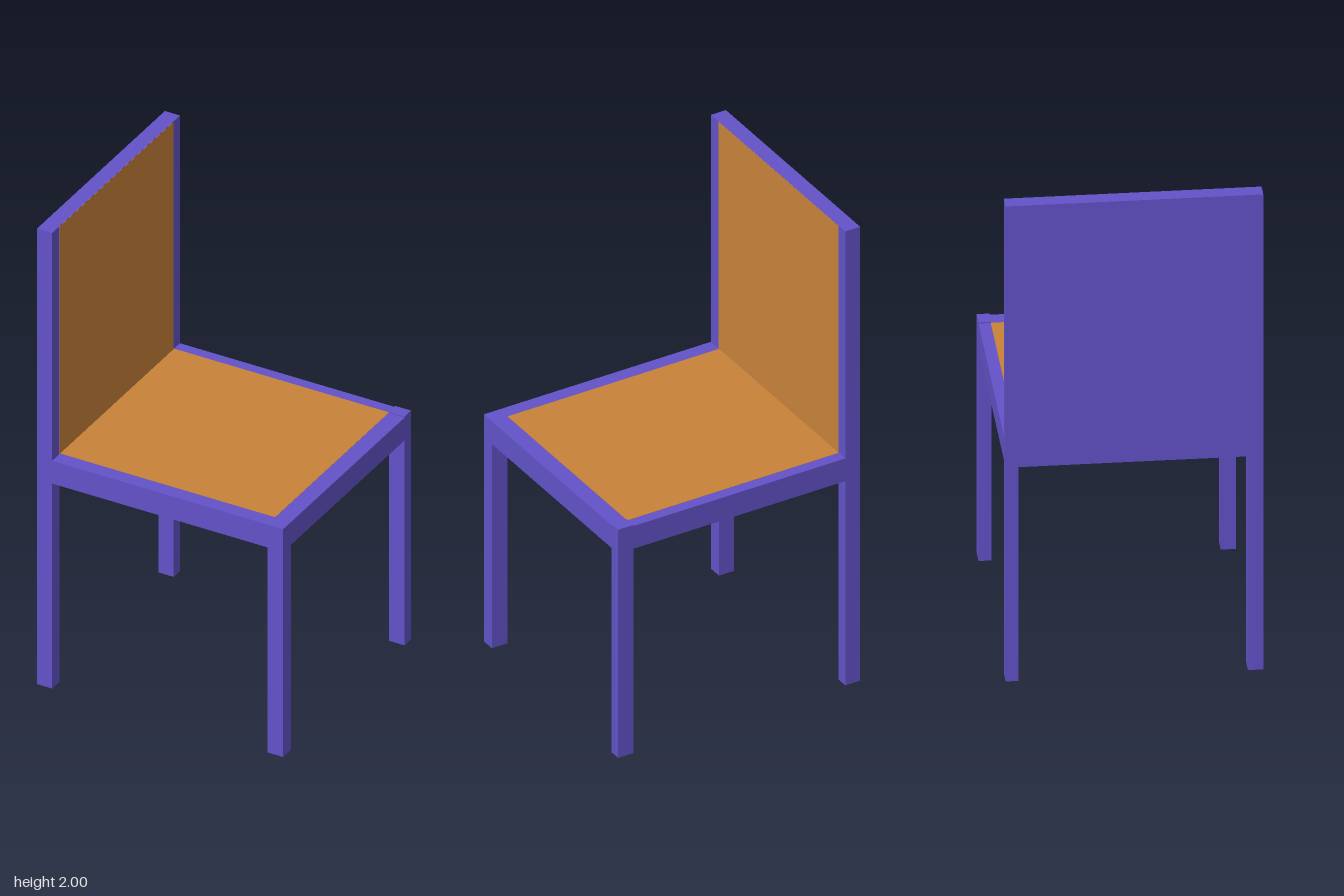
import * as THREE from 'three';

export function createModel() {
  const group = new THREE.Group();
  group.name = 'chair';
  const frame = new THREE.MeshStandardMaterial({ color: 0x6252c8 });
  const pad = new THREE.MeshStandardMaterial({ color: 0xc8823a });

  // Box given by its minimum and maximum corners
  function box(name, material, [x0, y0, z0], [x1, y1, z1]) {
    const mesh = new THREE.Mesh(new THREE.BoxGeometry(x1 - x0, y1 - y0, z1 - z0), material);
    mesh.position.set((x0 + x1) / 2, (y0 + y1) / 2, (z0 + z1) / 2);
    mesh.name = name;
    group.add(mesh);
  }

  const X = 0.53, Z = 0.485, post = 0.465;
  const seatBottom = 0.9, seatTop = 1, height = 2;

  // Legs: the far pair is slightly thinner, and one stands just proud of the seat
  for (const [side, z0, z1, top] of [['Near', 0.427, Z, seatBottom], ['Far', -Z, -0.436, 1.005]]) {
    box('backrestLeg' + side, frame, [-X, 0, z0], [-post, seatBottom, z1]);
    box('seatLeg' + side, frame, [0.462, 0, z0], [X, top, z1]);
  }

  // Seat slab and backrest panel
  box('seat', frame, [-X, seatBottom, -Z], [X, seatTop, Z]);
  box('backrest', frame, [-X, seatTop, -Z], [-post, height, Z]);

  // Coloured surfaces lying almost flush in the seat and backrest
  box('seatPad', pad, [-post, seatTop - 0.01, -0.439], [0.462, seatTop + 0.001, 0.425]);
  box('backrestPad', pad, [-post - 0.01, seatTop, -0.436], [-post + 0.001, height - 0.001, 0.428]);

  return group;
}
